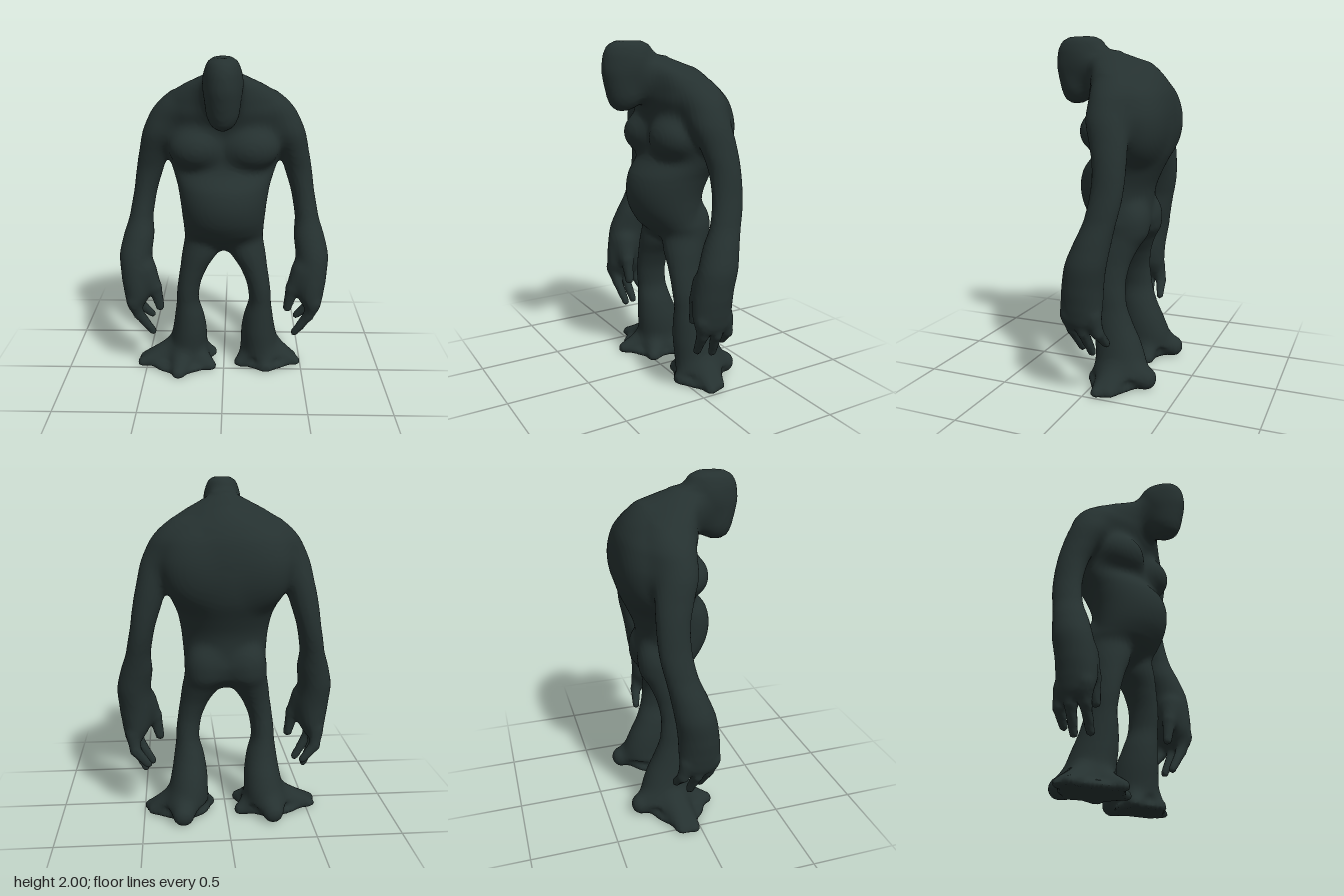
import * as THREE from 'three';

const hide = new THREE.MeshStandardMaterial({ color: 0x253130 });
hide.name = 'dark hide';

// --- Solids: each returns a signed distance, negative inside ---

const oval = (x, y, z, a, b, c) => {
  const k0 = Math.hypot(x / a, y / b, z / c);
  return k0 * (k0 - 1) / (Math.hypot(x / (a * a), y / (b * b), z / (c * c)) + 1e-9);
};

const ball = ([cx, cy, cz], [a, b, c]) => (x, y, z) => oval(x - cx, y - cy, z - cz, a, b, c);

// Rounded limb from one point to another with a changing radius
const limb = ([ax, ay, az, ar], [bx, by, bz, br]) => {
  const dx = bx - ax, dy = by - ay, dz = bz - az, len2 = dx * dx + dy * dy + dz * dz;
  return (x, y, z) => {
    const px = x - ax, py = y - ay, pz = z - az;
    const t = Math.min(1, Math.max(0, (px * dx + py * dy + pz * dz) / len2));
    return Math.hypot(px - dx * t, py - dy * t, pz - dz * t) - ar - (br - ar) * t;
  };
};

// Oval cross-sections stacked upwards: [y, outer x, inner x, front z, back z]
function stack(rows) {
  const centres = new THREE.CatmullRomCurve3(rows.map(([y, o, i, f, b]) =>
    new THREE.Vector3((o + i) / 2, y, (f + b) / 2)));
  const radii = new THREE.CatmullRomCurve3(rows.map(([, o, i, f, b]) =>
    new THREE.Vector3((o - i) / 2, 0, (f - b) / 2)));
  const n = (rows.length - 1) * 6;
  const c = centres.getPoints(n), r = radii.getPoints(n);
  return (x, y, z) => {
    let i = 0;
    while (i < n - 1 && c[i + 1].y < y) i++;
    const t = Math.min(1, Math.max(0, (y - c[i].y) / (c[i + 1].y - c[i].y)));
    const mix = (list, axis) => list[i][axis] + (list[i + 1][axis] - list[i][axis]) * t;
    const d = oval(x - mix(c, 'x'), 0, z - mix(c, 'z'),
      Math.max(mix(r, 'x'), 0.004), 1, Math.max(mix(r, 'z'), 0.004));
    const dy = Math.max(c[0].y - y, y - c[n].y);
    return dy <= 0 ? Math.max(d, dy) : Math.hypot(Math.max(d, 0), dy);
  };
}

const mirrored = rows => rows.map(([y, w, f, b]) => [y, w, -w, f, b]);

// --- Parts: name, blend width, solid, side (0 means mirrored to both) ---
const parts = [];
const add = (name, blend, solid, side = 0) => parts.push({ name, blend, solid, side });

// Trunk: hips, belly, ribcage and hunched back
add('torso', 0.01, stack(mirrored([
  [0.80, 0.05, -0.06, -0.15], [0.86, 0.18, 0.03, -0.22], [0.94, 0.238, 0.12, -0.24],
  [1.03, 0.247, 0.175, -0.235], [1.13, 0.257, 0.195, -0.245], [1.23, 0.275, 0.175, -0.285],
  [1.34, 0.315, 0.095, -0.335], [1.45, 0.36, 0.08, -0.358], [1.56, 0.4, 0.08, -0.36],
  [1.66, 0.395, 0.1, -0.345], [1.75, 0.33, 0.11, -0.295], [1.825, 0.23, 0.12, -0.205],
  [1.875, 0.13, 0.12, -0.1], [1.905, 0.06, 0.1, -0.03],
])));
add('torso', 0.05, ball([0.155, 1.465, -0.005], [0.165, 0.13, 0.142]));
add('torso', 0.06, ball([0.18, 1.5, -0.215], [0.17, 0.2, 0.13]));
add('torso', 0.04, ball([0.11, 0.95, -0.155], [0.115, 0.125, 0.1]));

// Thick neck and long narrow head thrust forward
add('neck', 0.06, limb([0, 1.862, 0.17, 0.092], [0, 1.69, -0.1, 0.195]));
add('head', 0.07, stack(mirrored([
  [1.616, 0.02, 0.275, 0.215], [1.63, 0.05, 0.3, 0.18], [1.65, 0.068, 0.318, 0.15],
  [1.69, 0.087, 0.335, 0.12], [1.75, 0.096, 0.35, 0.1], [1.84, 0.1, 0.366, 0.09],
  [1.92, 0.096, 0.358, 0.08], [1.97, 0.084, 0.335, 0.08], [1.99, 0.068, 0.31, 0.1],
  [2.0, 0.045, 0.28, 0.14],
])));

// Shoulder, arm and palm
add('arm', 0.05, stack([
  [0.42, 0.585, 0.53, 0.05, -0.1], [0.46, 0.607, 0.495, 0.085, -0.13],
  [0.54, 0.622, 0.45, 0.098, -0.14], [0.65, 0.636, 0.435, 0.09, -0.145],
  [0.78, 0.644, 0.445, 0.065, -0.165], [0.9, 0.618, 0.432, 0.02, -0.185],
  [1.02, 0.58, 0.437, -0.03, -0.21], [1.15, 0.555, 0.415, -0.055, -0.235],
  [1.3, 0.532, 0.37, -0.055, -0.24], [1.42, 0.508, 0.328, -0.025, -0.235],
  [1.55, 0.478, 0.25, 0.015, -0.22], [1.64, 0.438, 0.2, 0.015, -0.21],
  [1.72, 0.375, 0.18, 0, -0.2], [1.77, 0.31, 0.16, -0.04, -0.18],
]));

// Thumb and three curled fingers
add('hand', 0.05, limb([0.475, 0.69, 0, 0.055], [0.428, 0.58, 0.01, 0.042]));
add('hand', 0.01, limb([0.428, 0.58, 0.01, 0.042], [0.399, 0.447, 0.01, 0.027]));
[[0.055, 0.015, 0.277, 0.447, 0.53], [-0.018, -0.06, 0.27, 0.488, 0.556],
  [-0.1, -0.138, 0.322, 0.47, 0.545]].forEach(([z0, z1, tipY, tipX, midX]) => {
  const knuckle = [midX, 0.405, (z0 + z1) / 2, 0.033];
  add('hand', 0.015, limb([0.557, 0.5, z0, 0.042], knuckle));
  add('hand', 0.01, limb(knuckle, [tipX, tipY, z1, 0.023]));
});

// Leg, flaring down to the ankle
add('leg', 0.05, stack([
  [0.08, 0.395, 0.11, 0.02, -0.29], [0.15, 0.355, 0.112, 0.02, -0.28],
  [0.25, 0.33, 0.115, 0.028, -0.245], [0.36, 0.312, 0.132, 0.03, -0.195],
  [0.48, 0.298, 0.16, 0.03, -0.16], [0.59, 0.287, 0.145, 0.04, -0.15],
  [0.7, 0.27, 0.1, 0.045, -0.165], [0.79, 0.258, 0.04, 0.05, -0.2],
  [0.87, 0.243, 0.01, 0.045, -0.235], [0.94, 0.223, 0.03, 0.03, -0.22],
  [1.0, 0.185, 0.06, -0.03, -0.19],
]));

// Splayed feet, planted differently: lobes around a sole pad
const foot = (side, ankle, pad, lobes) => {
  add('foot', 0.05, ball(...pad), side);
  lobes.forEach(tip => add('foot', 0.045, limb(ankle, tip), side));
};
foot(-1, [0.25, 0.1, -0.12, 0.085], [[0.28, 0.015, -0.08], [0.2, 0.05, 0.17]], [
  [0.27, 0.06, -0.295, 0.062], [0.525, 0.012, -0.045, 0.038], [0.52, 0.012, -0.115, 0.036],
  [0.285, 0.02, 0.107, 0.04], [0.085, 0.018, 0, 0.037], [0.09, 0.02, -0.18, 0.042],
]);
foot(1, [0.25, 0.1, -0.13, 0.085], [[0.27, 0.015, -0.11], [0.17, 0.05, 0.14]], [
  [0.265, 0.06, -0.295, 0.064], [0.463, 0.015, -0.075, 0.036], [0.44, 0.015, -0.14, 0.036],
  [0.27, 0.02, 0.01, 0.04], [0.105, 0.018, -0.05, 0.037],
]);

const distance = (part, x, y, z) => part.solid(part.side ? x * part.side : Math.abs(x), y, z);

// All parts melted together and cut flat at the ground
function field(x, y, z) {
  let d = 10;
  for (const part of parts) {
    const e = distance(part, x, y, z), k = part.blend;
    const h = Math.max(k - Math.abs(d - e), 0) / k;
    d = Math.min(d, e) - h * h * k / 4;
  }
  return Math.max(d, -y);
}

function partName(x, y, z) {
  let best = 10, name = '';
  for (const part of parts) {
    const d = distance(part, x, y, z);
    if (d < best) [best, name] = [d, part.name];
  }
  if (['torso', 'neck', 'head'].includes(name)) return name;
  return (x > 0 ? 'left' : 'right') + name[0].toUpperCase() + name.slice(1);
}

// Skin the field: one vertex per crossed cell, one quad per crossed grid edge
export function createModel() {
  const cell = 0.015, size = [93, 139, 57], origin = [-0.69, -0.03, -0.42];
  const step = [1, size[0], size[0] * size[1]];
  const values = new Float32Array(step[2] * size[2]);
  const eachCell = (start, visit) => {
    for (let k = start; k < size[2] - 1; k++)
      for (let j = start; j < size[1] - 1; j++)
        for (let i = start; i < size[0] - 1; i++) visit(i + j * step[1] + k * step[2], [i, j, k]);
  };
  values.fill(1);
  eachCell(0, (id, at) => { values[id] = field(...at.map((v, a) => origin[a] + v * cell)); });

  const vertexOf = new Int32Array(values.length), pos = [];
  eachCell(0, (id, at) => {
    const sum = [0, 0, 0];
    let hits = 0;
    for (let a = 0; a < 3; a++) {
      const u = (a + 1) % 3, v = (a + 2) % 3;
      for (let c = 0; c < 4; c++) {
        const cu = c & 1, cv = c >> 1, p = id + cu * step[u] + cv * step[v];
        const f = values[p], g = values[p + step[a]];
        if (f < 0 === g < 0) continue;
        sum[a] += f / (f - g);
        sum[u] += cu;
        sum[v] += cv;
        hits++;
      }
    }
    if (!hits) return;
    vertexOf[id] = pos.length / 3;
    at.forEach((v, a) => pos.push(origin[a] + (v + sum[a] / hits) * cell));
  });

  const all = [], faces = {};
  eachCell(1, id => {
    for (let a = 0; a < 3; a++) {
      const inside = values[id] < 0;
      if (inside === values[id + step[a]] < 0) continue;
      const u = step[(a + 1) % 3], v = step[(a + 2) % 3];
      const q = [id - u - v, id - v, id, id - u].map(c => vertexOf[c]);
      if (!inside) q.reverse();
      const tris = [q[0], q[1], q[2], q[0], q[2], q[3]];
      all.push(...tris);
      (faces[partName(...pos.slice(q[0] * 3, q[0] * 3 + 3))] ??= []).push(...tris);
    }
  });

  // Shared smooth normals, then one mesh for each named part
  const whole = new THREE.BufferGeometry();
  whole.setAttribute('position', new THREE.Float32BufferAttribute(pos, 3));
  whole.setIndex(all);
  whole.computeVertexNormals();
  const model = new THREE.Group();
  model.name = 'hunched creature';
  for (const [name, index] of Object.entries(faces)) {
    const g = new THREE.BufferGeometry();
    g.setAttribute('position', whole.attributes.position);
    g.setAttribute('normal', whole.attributes.normal);
    g.setIndex(index);
    const mesh = new THREE.Mesh(g, hide);
    mesh.name = name;
    model.add(mesh);
  }
  return model;
}
